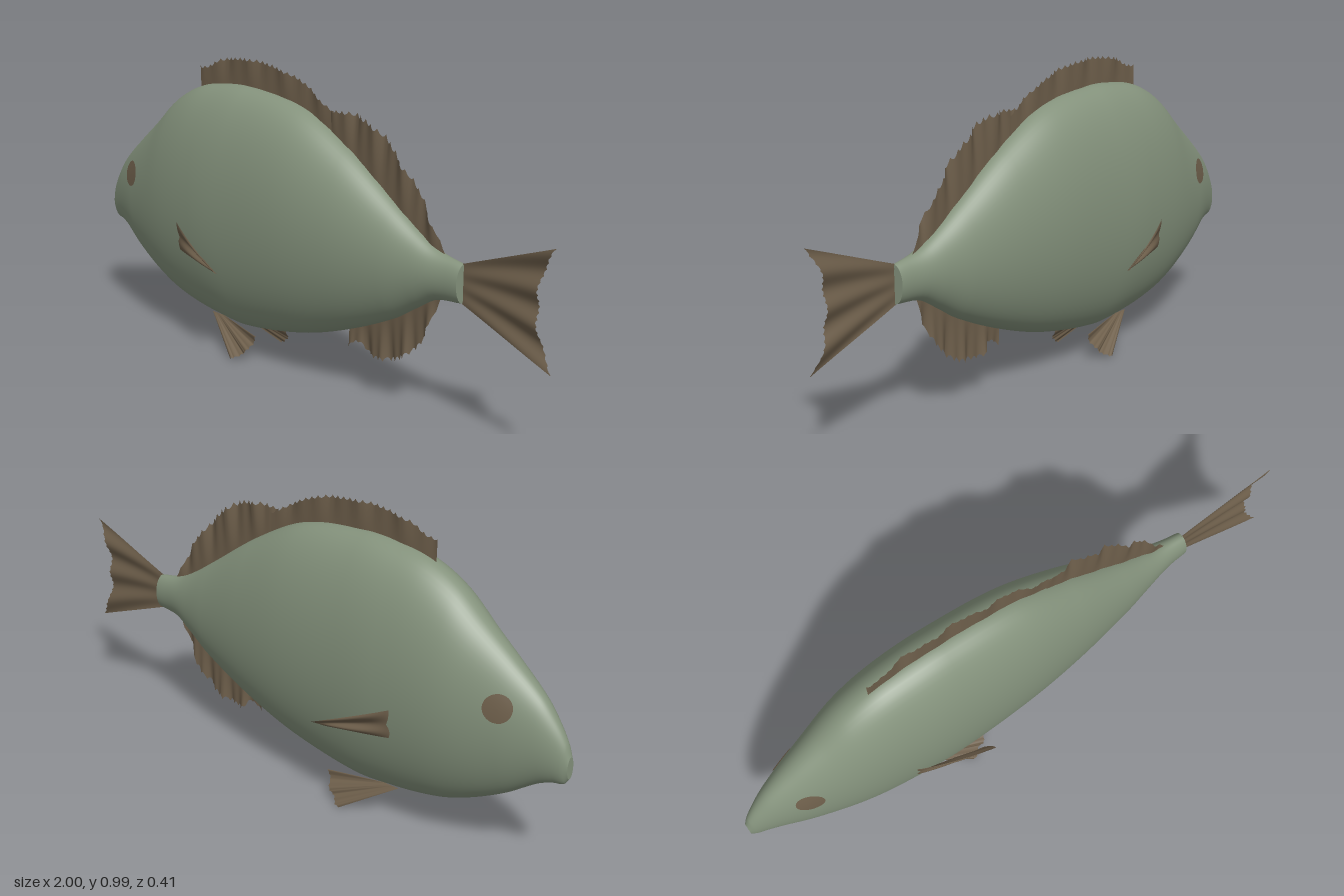
import * as THREE from 'three';
import { ParametricGeometry } from 'three/addons/geometries/ParametricGeometry.js';

const { lerp } = THREE.MathUtils;

// Smooth single-valued curve y = f(x) through [x, y] points
function curve(pts) {
  const slope = (i) => {
    const a = pts[Math.max(0, i - 1)], b = pts[Math.min(pts.length - 1, i + 1)];
    return (b[1] - a[1]) / (b[0] - a[0]);
  };
  return (x) => {
    let i = 0;
    while (i < pts.length - 2 && x > pts[i + 1][0]) i++;
    const [x0, y0] = pts[i], [x1, y1] = pts[i + 1], d = x1 - x0;
    const t = Math.min(1, Math.max(0, (x - x0) / d)), s = 1 - t;
    return y0 * (1 + 2 * t) * s * s + y1 * t * t * (3 - 2 * t)
      + slope(i) * d * t * s * s - slope(i + 1) * d * t * t * s;
  };
}

// Body outline: back, belly and half width along x
const back = curve([[-1, 0.42], [-0.985, 0.46], [-0.95, 0.515], [-0.9, 0.575], [-0.8, 0.66], [-0.7, 0.74],
  [-0.6, 0.825], [-0.5, 0.877], [-0.4, 0.899], [-0.25, 0.908], [0, 0.875], [0.2, 0.777], [0.4, 0.642],
  [0.5, 0.576], [0.57, 0.54], [0.667, 0.52]]);
const belly = curve([[-1, 0.35], [-0.985, 0.33], [-0.95, 0.322], [-0.9, 0.3], [-0.8, 0.233], [-0.7, 0.18],
  [-0.6, 0.14], [-0.5, 0.117], [-0.4, 0.104], [-0.25, 0.096], [0, 0.137], [0.2, 0.2], [0.4, 0.288],
  [0.5, 0.35], [0.57, 0.39], [0.667, 0.402]]);
const halfWidth = curve([[-1, 0.015], [-0.98, 0.027], [-0.9, 0.058], [-0.8, 0.09], [-0.6, 0.138], [-0.4, 0.159],
  [-0.25, 0.161], [0, 0.151], [0.2, 0.126], [0.4, 0.087], [0.5, 0.063], [0.6, 0.04], [0.667, 0.032]]);

// Depth of the body's flank at a point of its side outline
function flank(x, y) {
  const c = (back(x) + belly(x)) / 2, h = (back(x) - belly(x)) / 2;
  return halfWidth(x) * Math.sqrt(Math.max(0, 1 - ((y - c) / h) ** 2));
}

export function createModel() {
  const fish = new THREE.Group();
  fish.name = 'fish';
  const skin = new THREE.MeshStandardMaterial({ color: 0x84927c });
  skin.name = 'grey green skin';
  const brown = new THREE.MeshStandardMaterial({ color: 0x6e5f4b, side: THREE.DoubleSide });
  brown.name = 'brown fin';

  const add = (name, geometry, material) => {
    const mesh = new THREE.Mesh(geometry, material);
    mesh.name = name;
    fish.add(mesh);
    return mesh;
  };
  const sheet = (name, nu, nv, f) =>
    add(name, new ParametricGeometry((u, v, p) => p.set(...f(u, v)), nu, nv), brown);

  // Body: elliptical cross-sections, denser towards the snout
  add('body', new ParametricGeometry((u, v, p) => {
    const x = -1 + 1.667 * u ** 1.4, a = v * Math.PI * 2;
    const t = back(x), b = belly(x);
    p.set(x, (t + b) / 2 + (t - b) / 2 * Math.cos(a), -halfWidth(x) * Math.sin(a));
  }, 110, 64), skin);

  // Flat ends of the snout and tail stalk
  for (const [name, x, turn] of [['snoutTip', -1, -1], ['tailStalkEnd', 0.667, 1]]) {
    const cap = add(name, new THREE.CircleGeometry(1, 48), skin);
    cap.scale.set(halfWidth(x), (back(x) - belly(x)) / 2, 1);
    cap.rotation.y = turn * Math.PI / 2;
    cap.position.set(x, (back(x) + belly(x)) / 2, 0);
  }

  // Upright fins: wavy sheets from inside the body to a ragged edge
  function uprightFin(name, x0, x1, root, edge, rays, wave, lean) {
    sheet(name, rays * 4, 8, (u, v) => {
      const x = lerp(x0, x1, u), base = root(x);
      const rag = 1 - 0.09 * Math.abs(Math.sin(u * rays * Math.PI)) * v;
      const z = wave * v * (Math.sin(u * 23) + 0.5 * Math.sin(u * 51 + 1));
      return [x + lean * v * Math.sin(u * Math.PI), lerp(base, edge(x), v * rag), z];
    });
  }
  const dorsalRoot = (x) => back(x) - 0.02, analRoot = (x) => belly(x) + 0.02;
  uprightFin('spinyDorsalFin', -0.505, 0.15, dorsalRoot, curve([[-0.505, 0.945], [-0.46, 0.952], [-0.4, 0.982],
    [-0.25, 1], [-0.1, 0.985], [0, 0.955], [0.1, 0.9], [0.15, 0.872]]), 26, 0.005, 0);
  uprightFin('softDorsalFin', 0.12, 0.595, dorsalRoot, curve([[0.12, 0.89], [0.2, 0.895], [0.28, 0.878], [0.35, 0.835],
    [0.42, 0.77], [0.5, 0.68], [0.56, 0.59], [0.595, 0.53]]), 20, 0.008, 0.008);
  uprightFin('analFin', 0.205, 0.585, analRoot, curve([[0.205, 0.145], [0.235, 0.168], [0.262, 0.165], [0.275, 0.14],
    [0.35, 0.137], [0.42, 0.16], [0.5, 0.23], [0.55, 0.32], [0.585, 0.405]]), 18, 0.008, 0.004);

  // Tail fin: rays fanning out to a concave ragged edge
  sheet('tailFin', 12, 72, (u, v) => {
    const end = 0.94 + 0.06 * Math.abs(2 * v - 1) ** 3 - 0.006 * Math.abs(Math.sin(v * 18 * Math.PI));
    const x = lerp(0.65, end, u), t = (x - 0.65) / 0.35;
    const y = lerp(lerp(0.405, 0.275, t), lerp(0.517, 0.643, t), v);
    return [x, y, 0.009 * t * Math.sin(v * 19 + 2 * t)];
  });

  for (const [side, s] of [['left', 1], ['right', -1]]) {
    // Side facing +z is s = 1
    // Eye: a disc laid on the flank
    const eye = new THREE.RingGeometry(0.0001, 0.043, 32, 5).translate(-0.8, 0.535, 0);
    const p = eye.attributes.position;
    for (let i = 0; i < p.count; i++) p.setZ(i, s * (flank(p.getX(i), p.getY(i)) + 0.003));
    eye.computeVertexNormals();
    if (s < 0) {
      // Keep the mirrored disc facing outward
      eye.index.array.reverse();
      eye.computeVertexNormals();
    }
    add(side + 'Eye', eye, brown);

    // Pectoral fin: upright root twisting to a flat narrow tip
    sheet(side + 'PectoralFin', 16, 16, (u, v) => {
      const x = lerp(-0.472, -0.205 - 0.03 * (1 - v) ** 2, u);
      const y = lerp(lerp(0.345, 0.445, v), lerp(0.32, 0.334, v), u);
      const root = flank(-0.472, lerp(0.345, 0.445, v)) - 0.003;
      const z = lerp(root, lerp(0.177, 0.206, v), u ** 0.8)
        + 0.008 * Math.sin(u * Math.PI) * Math.sin(v * 9);
      return [x, y, s * z];
    });

    // Pelvic fin: a fan splayed down and outward from the belly
    sheet(side + 'PelvicFin', 12, 32, (u, v) => {
      const bow = Math.sin(v * Math.PI), rag = 0.004 * Math.abs(Math.sin(v * 8 * Math.PI));
      const tip = [lerp(-0.24, -0.157, v) + 0.012 * bow - rag, lerp(0.006, 0.097, v) - 0.014 * bow + rag,
        lerp(0.115, 0.068, v) + 0.006 * Math.sin(v * 14)];
      const root = [lerp(-0.42, -0.36, v), 0.112, 0.038];
      return [lerp(root[0], tip[0], u), lerp(root[1], tip[1], u), s * lerp(root[2], tip[2], u)];
    });
  }
  return fish;
}
